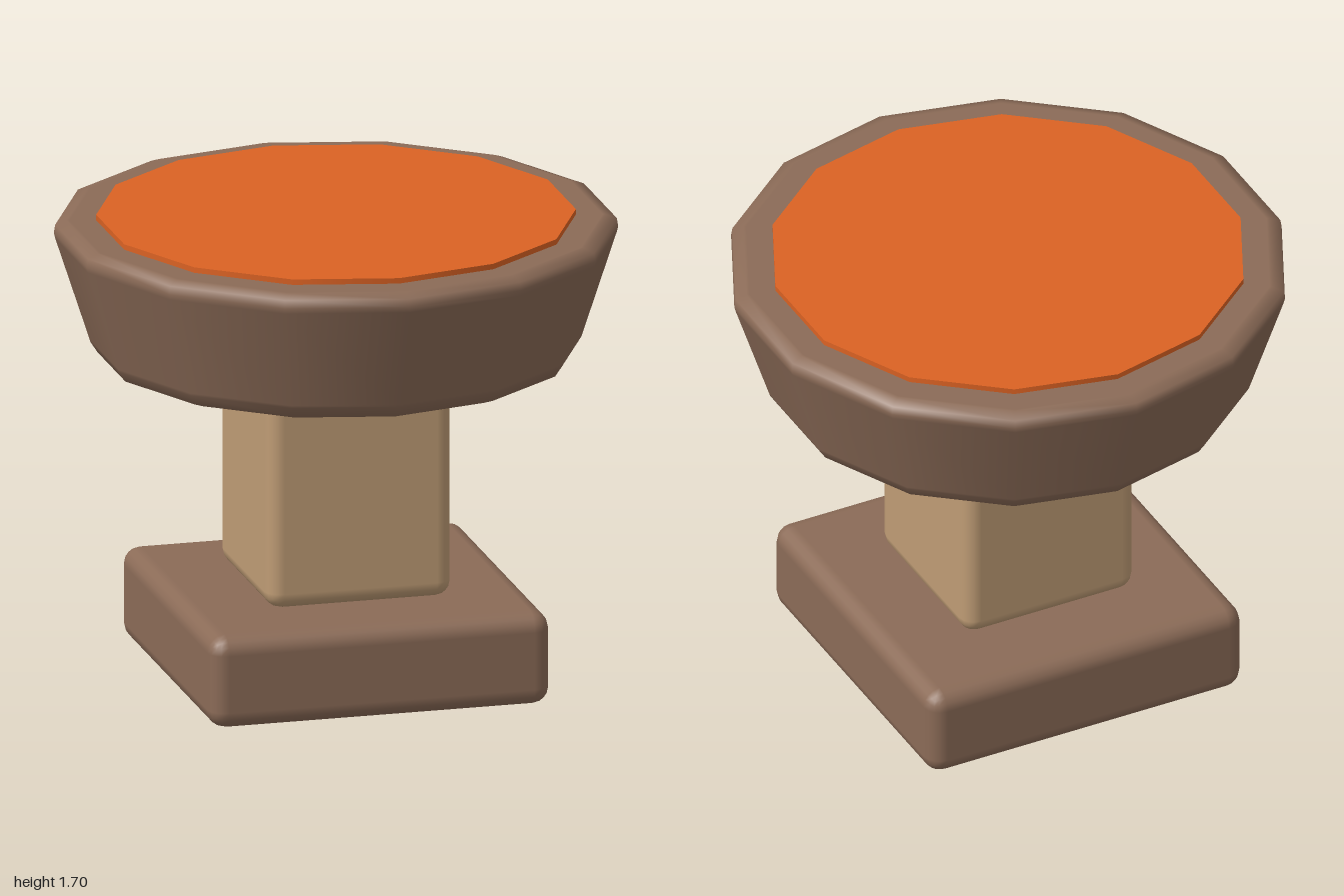
import * as THREE from 'three';
import { RoundedBoxGeometry } from 'three/addons/geometries/RoundedBoxGeometry.js';

const SIDES = 14;

export function createModel() {
  const group = new THREE.Group();
  const material = (name, color) => {
    const m = new THREE.MeshStandardMaterial({ color });
    m.name = name;
    return m;
  };
  const brown = material('dark wood', 0x8b6b57);
  const tan = material('light wood', 0xbf9c75);
  const orange = material('orange top', 0xdb6223);

  const add = (name, geometry, mat, y) => {
    const mesh = new THREE.Mesh(geometry, mat);
    mesh.name = name;
    mesh.position.y = y;
    group.add(mesh);
  };

  // square foot and post with softened edges
  add('base', new RoundedBoxGeometry(1.25, 0.34, 1.25, 2, 0.065), brown, 0.17);
  add('post', new RoundedBoxGeometry(0.68, 0.92, 0.68, 2, 0.06), tan, 0.8);

  // flared seat: bevelled bottom, sloping wall, bevelled rim, flat top
  // (close point pairs keep the caps and the wall evenly shaded)
  const profile = [
    [0, 1.17], [0.79, 1.17], [0.8, 1.17], [0.845, 1.187], [0.87, 1.225],
    [0.873, 1.235], [0.995, 1.61], [1.0, 1.63], [0.995, 1.66],
    [0.955, 1.675], [0.945, 1.675], [0, 1.675],
  ].map(([r, y]) => new THREE.Vector2(r, y));
  add('seat', new THREE.LatheGeometry(profile, SIDES), brown, 0);

  // raised disc on the seat
  add('cushion', new THREE.CylinderGeometry(0.85, 0.85, 0.025, SIDES), orange, 1.6825);

  return group;
}
